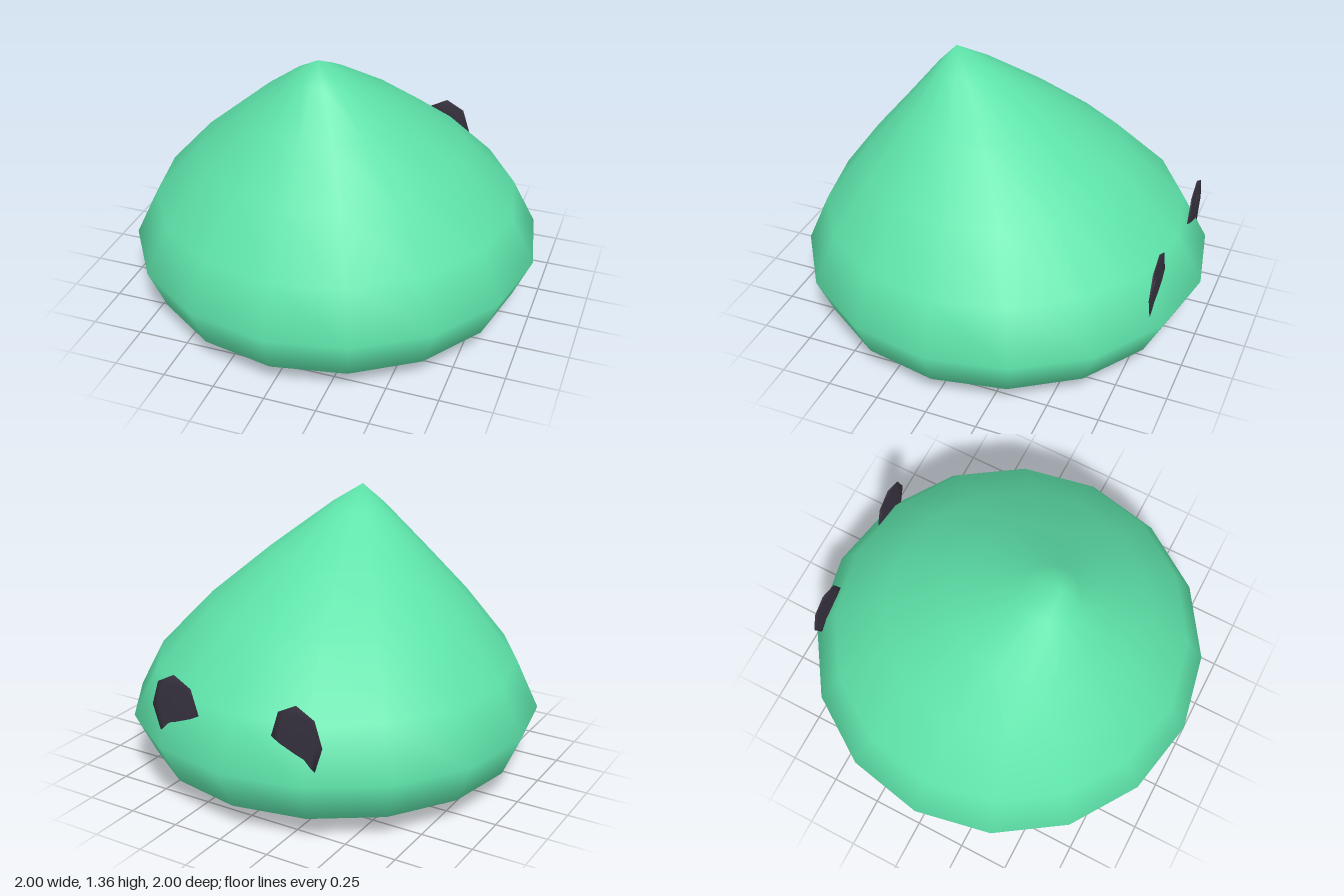
import * as THREE from 'three';
import { mergeVertices } from 'three/addons/utils/BufferGeometryUtils.js';

// Body rings from bottom to tip: radius, height, forward shift
const RINGS = [
  [0, 0, 0.015], [0.645, 0.005, 0.015], [0.91, 0.122, 0.01], [1, 0.325, 0],
  [0.885, 0.56, 0.012], [0.648, 0.825, 0.055], [0.385, 1.06, 0.125],
  [0.14, 1.26, 0.21], [0, 1.355, 0.26],
];

// Sixteen-sided drop whose rings slide forward towards the tip
function bodyGeometry() {
  const sides = 16;
  const lathe = new THREE.LatheGeometry(RINGS.map(([r, y]) => new THREE.Vector2(r, y)), sides);
  const pos = lathe.attributes.position;
  for (let i = 0; i < pos.count; i++) {
    pos.setZ(i, pos.getZ(i) + RINGS[i % RINGS.length][2]);
  }
  lathe.deleteAttribute('uv');
  lathe.deleteAttribute('normal');
  const geometry = mergeVertices(lathe, 1e-4);
  geometry.computeVertexNormals();
  return geometry;
}

export function createModel() {
  const model = new THREE.Group();
  const green = new THREE.MeshStandardMaterial({ color: 0x5ee3aa });
  green.name = 'mint green';
  const dark = new THREE.MeshStandardMaterial({ color: 0x37323f });
  dark.name = 'dark plum';

  const body = new THREE.Mesh(bodyGeometry(), green);
  body.name = 'body';
  model.add(body);

  // Flat octagonal eyes, partly sunk into the back slope
  const eyeGeometry = new THREE.SphereGeometry(1, 8, 4).scale(0.13, 0.17, 0.005);
  const pupilGeometry = new THREE.CylinderGeometry(0.042, 0.042, 0.004, 16).rotateX(Math.PI / 2);
  for (const side of [1, -1]) {
    const eye = new THREE.Group();
    eye.name = side > 0 ? 'leftEye' : 'rightEye';
    eye.position.set(side * 0.325, 0.505, -0.866);
    const plate = new THREE.Mesh(eyeGeometry, dark);
    plate.name = 'eyePlate';
    const pupil = new THREE.Mesh(pupilGeometry, dark);
    pupil.name = 'pupil';
    pupil.position.set(side * 0.037, 0.025, -0.004);
    eye.add(plate, pupil);
    model.add(eye);
  }
  return model;
}
